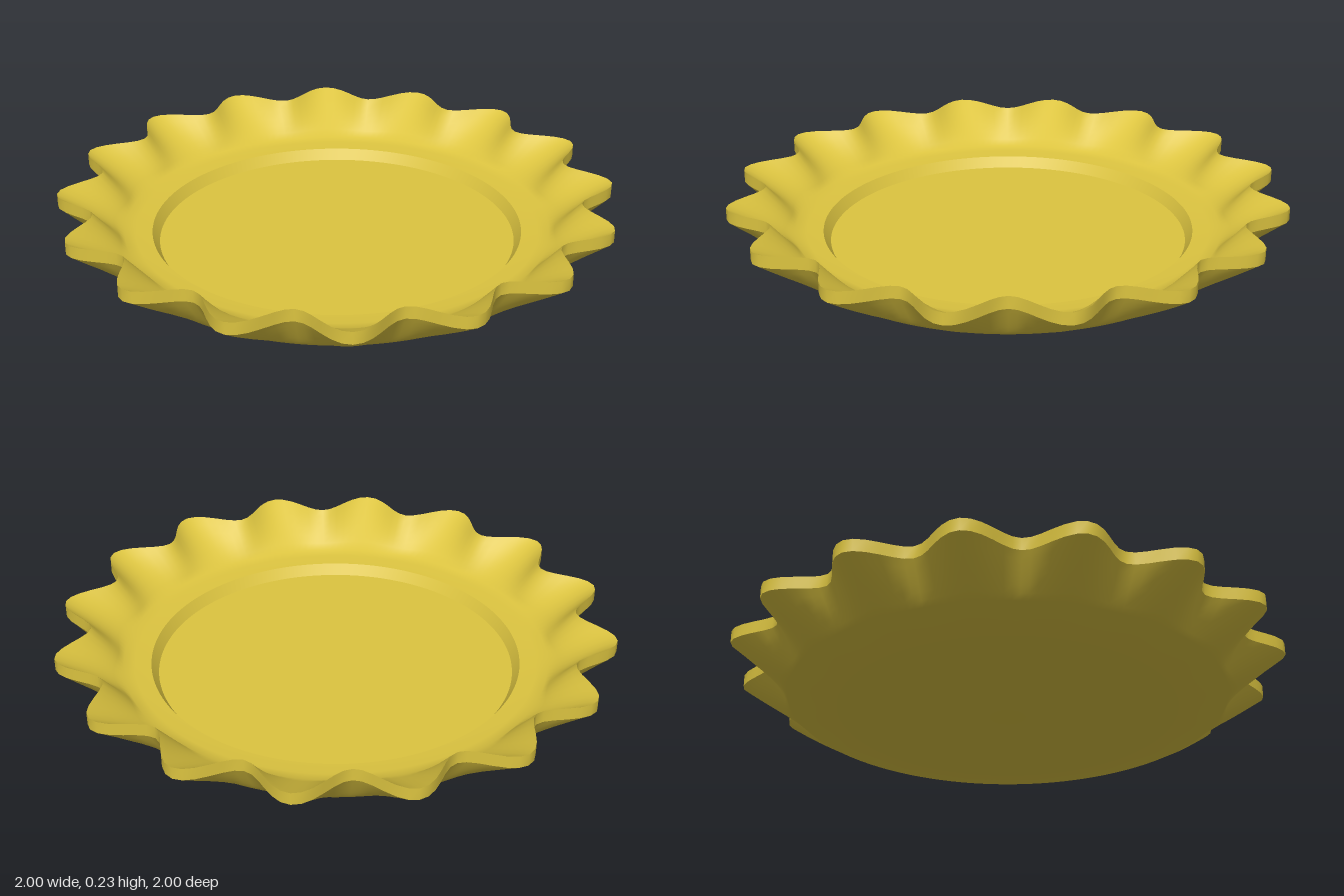
import * as THREE from 'three';

const SEGMENTS = 192;
const POINTS = 16;

// Wavy outline of the rim: 16 rounded points, valleys on the axes
const rimRadius = (a) => 0.955 - 0.065 * Math.cos(POINTS * a);

// Each ring is [radius, height, wave]; wave 0 keeps a true circle, 1 follows the rim outline
function ringSurface(rings) {
  const positions = [];
  const index = [];
  rings.forEach(([radius, y, wave], i) => {
    for (let j = 0; j < SEGMENTS; j++) {
      const a = (j / SEGMENTS) * Math.PI * 2;
      const r = radius + wave * (rimRadius(a) - radius);
      positions.push(r * Math.sin(a), y, r * Math.cos(a));
      if (i === rings.length - 1) continue;
      const k = (j + 1) % SEGMENTS;
      const p = i * SEGMENTS + j, q = i * SEGMENTS + k;
      index.push(p, p + SEGMENTS, q, q, p + SEGMENTS, q + SEGMENTS);
    }
  });
  const geometry = new THREE.BufferGeometry();
  geometry.setAttribute('position', new THREE.Float32BufferAttribute(positions, 3));
  geometry.setIndex(index);
  geometry.computeVertexNormals();
  return geometry;
}

export function createModel() {
  const group = new THREE.Group();
  group.name = 'scallopedDish';
  const yellow = new THREE.MeshStandardMaterial({ color: 0xdcc440 });
  yellow.name = 'mustard yellow';

  const add = (name, rings) => {
    const mesh = new THREE.Mesh(ringSurface(rings), yellow);
    mesh.name = name;
    group.add(mesh);
  };

  // Sunken floor and the small step around it
  add('floor', [[0, 0.05, 0], [0.655, 0.05, 0]]);
  add('floorStep', [[0.655, 0.05, 0], [0.68, 0.09, 0]]);

  // Inside of the dish, flaring from a circle to the wavy rim
  const inside = [[0.68, 0.09, 0], [0.74, 0.094, 0]];
  for (let i = 0; i <= 6; i++) {
    const t = i / 6;
    inside.push([0.78, 0.1 + 0.13 * t, t]);
  }
  add('innerFlare', inside);

  // Upright edge of the rim
  add('rimEdge', [[0.78, 0.23, 1], [0.78, 0.185, 1]]);

  // Underside, from the rim back to the shallow base
  const under = [];
  for (let i = 6; i >= 0; i--) {
    const t = i / 6;
    under.push([0.805, 0.05 + 0.135 * Math.pow(t, 1.1), t]);
  }
  under.push([0.67, 0.026, 0], [0.53, 0, 0], [0, 0, 0]);
  add('underside', under);

  return group;
}
